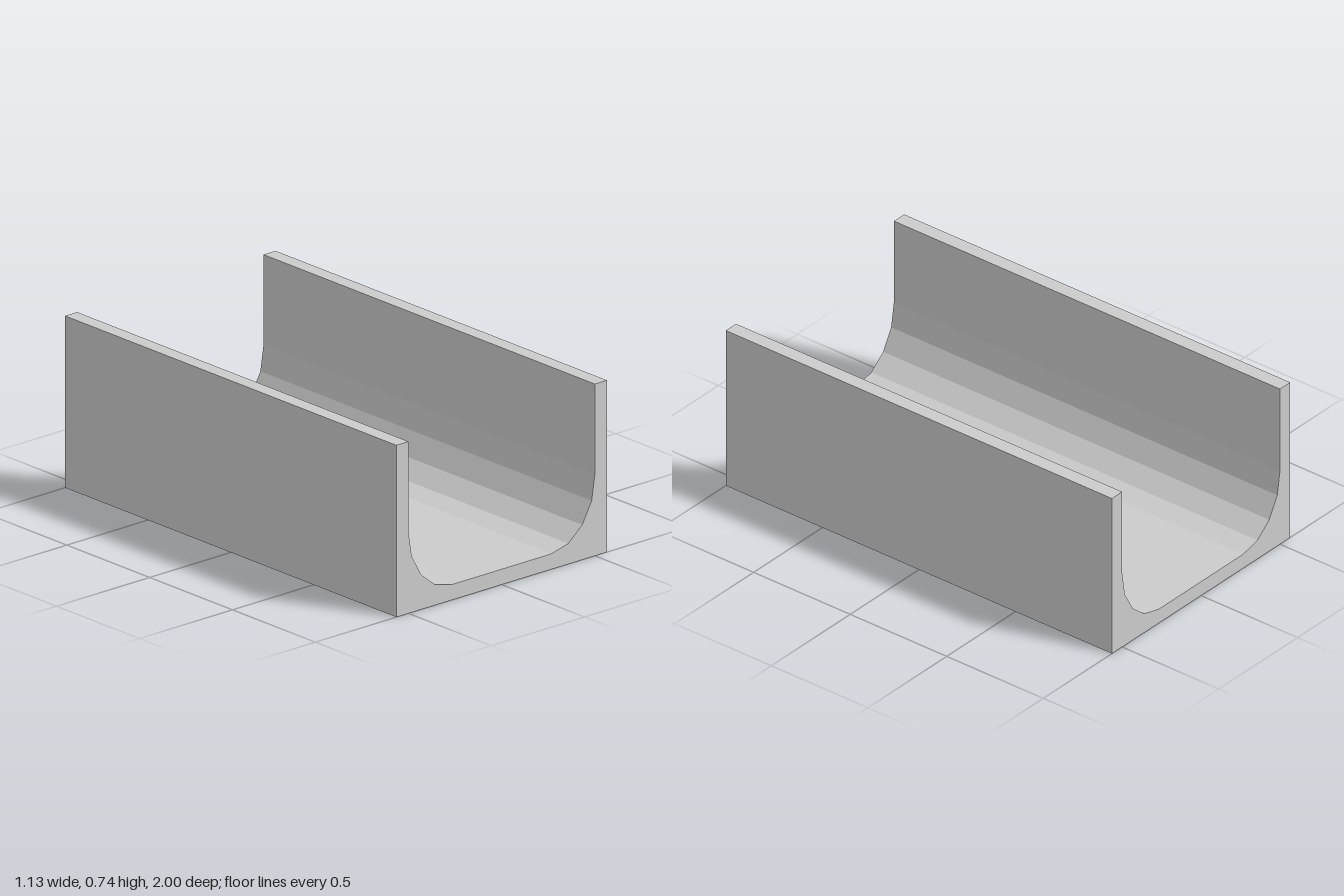
import * as THREE from 'three';

export function createModel() {
  const group = new THREE.Group();
  group.name = 'channel';
  const length = 2;

  // Half cross-section, from the outer bottom corner round to the channel floor
  const half = [
    [0.565, 0], [0.565, 0.735], [0.5, 0.735], [0.5, 0.348],
    [0.483, 0.24], [0.432, 0.149], [0.357, 0.088], [0.267, 0.066],
  ];
  const mirrored = half.map(([x, y]) => [-x, y]).reverse();
  const outline = [...half, ...mirrored].map(([x, y]) => new THREE.Vector2(x, y));

  // U-shaped trough with faceted inner corners, open at both ends
  const geometry = new THREE.ExtrudeGeometry(new THREE.Shape(outline), {
    depth: length, bevelEnabled: false,
  });
  geometry.translate(0, 0, -length / 2);

  const trough = new THREE.Mesh(
    geometry,
    new THREE.MeshStandardMaterial({ color: 0xcccccc, flatShading: true })
  );
  trough.name = 'trough';
  group.add(trough);
  return group;
}
